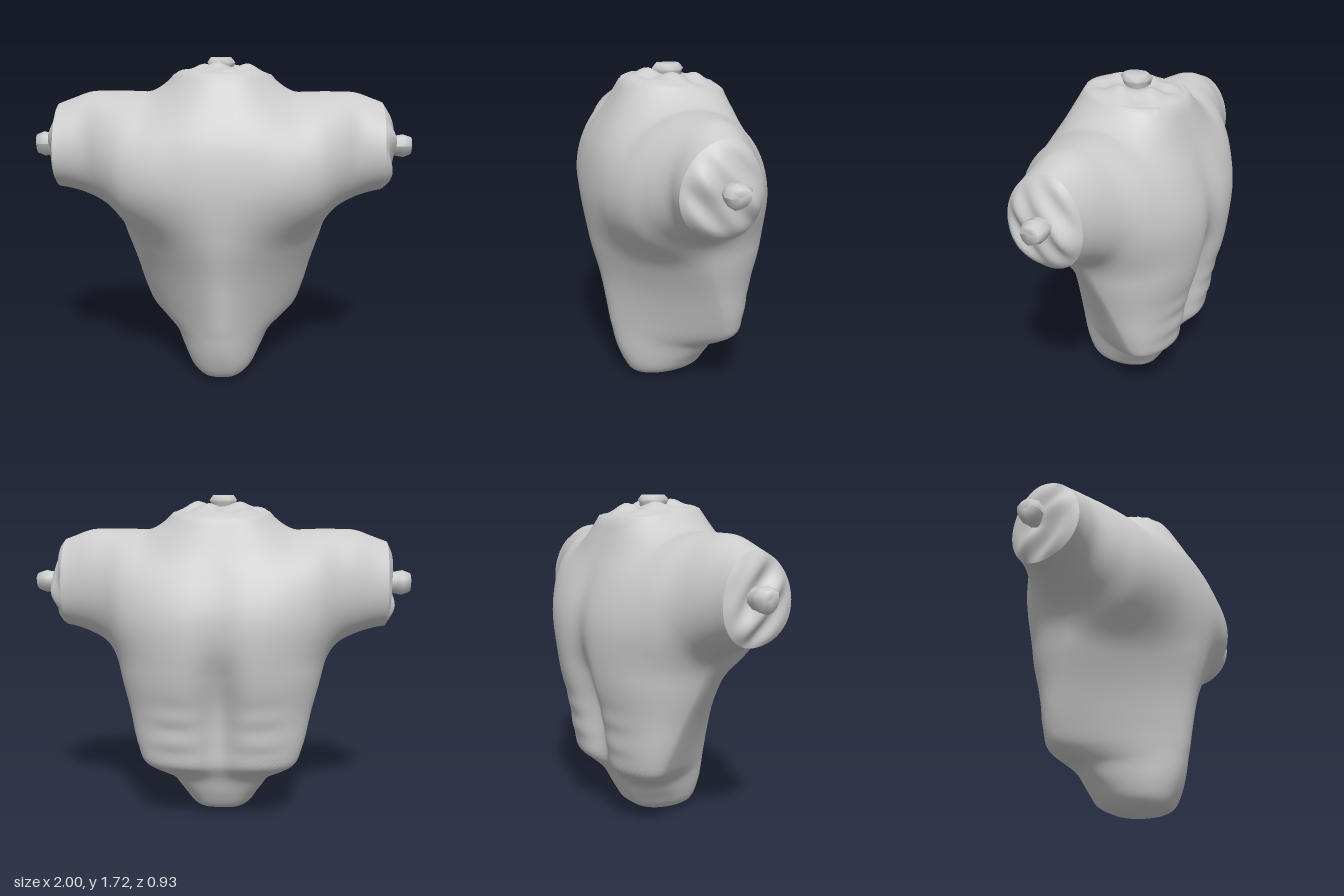
import * as THREE from 'three';

const material = new THREE.MeshStandardMaterial({ color: 0xcccccc });

// Smooth lookup through rows of [position, ...values]
function table(rows) {
  const size = rows[0].length - 1;
  const curve = new THREE.CubicInterpolant(rows.map(r => r[0]), rows.flatMap(r => r.slice(1)), size);
  return t => curve.evaluate(t);
}

// Trunk and neck by height: half width, front z, back z, z of widest point, front power, back groove
const trunkAt = table([
  [0.00, 0.05, 0.18, 0.02, 0.10, 1.9, 0],
  [0.02, 0.11, 0.225, -0.08, 0.07, 1.8, 0],
  [0.05, 0.155, 0.25, -0.145, 0.05, 1.75, 0],
  [0.10, 0.195, 0.275, -0.18, 0.02, 1.65, 0],
  [0.15, 0.225, 0.295, -0.205, -0.02, 1.55, 0],
  [0.22, 0.27, 0.315, -0.24, -0.08, 1.4, 0.06],
  [0.27, 0.345, 0.325, -0.29, -0.15, 1.28, 0.22],
  [0.31, 0.395, 0.335, -0.335, -0.18, 1.22, 0.35],
  [0.40, 0.435, 0.35, -0.36, -0.17, 1.2, 0.38],
  [0.60, 0.485, 0.385, -0.40, -0.11, 1.25, 0.32],
  [0.80, 0.54, 0.435, -0.45, -0.05, 1.4, 0.2],
  [0.95, 0.565, 0.455, -0.465, -0.01, 1.65, 0.1],
  [1.10, 0.57, 0.455, -0.45, 0, 2.0, 0.06],
  [1.30, 0.52, 0.425, -0.375, 0, 2.2, 0.03],
  [1.40, 0.45, 0.385, -0.335, 0, 2.2, 0],
  [1.50, 0.39, 0.33, -0.30, 0, 2.0, 0],
  [1.60, 0.285, 0.275, -0.26, 0, 2.0, 0],
  [1.68, 0.215, 0.23, -0.235, 0, 2.0, 0],
]);

// Shoulders and arms by distance from the middle: top, bottom, front z, back z
const armAt = table([
  [0.00, 1.54, 0.75, 0.42, -0.41],
  [0.20, 1.54, 0.75, 0.42, -0.42],
  [0.35, 1.54, 0.78, 0.42, -0.40],
  [0.50, 1.545, 0.84, 0.375, -0.34],
  [0.60, 1.545, 0.93, 0.305, -0.265],
  [0.70, 1.54, 0.985, 0.235, -0.215],
  [0.80, 1.505, 1.02, 0.225, -0.18],
  [0.88, 1.475, 1.035, 0.225, -0.165],
]);

const neckPlane = z => 1.635 + 0.09 * z;

// Negative inside the body, positive outside
function field(x, y, z) {
  const [w, front, back, zc, power, groove] = trunkAt(y);
  const ax = Math.hypot(x, 0.05) - 0.05;
  const isFront = z > zc;
  const p = isFront ? power : 2.3;
  let depth = isFront ? front - zc : zc - back;
  if (!isFront) {
    depth *= 1 - groove * Math.exp(-((x / 0.1) ** 2));
    // faint ribs low on the back
    const rib = Math.exp(-(((y - 0.5) / 0.16) ** 2) - ((Math.abs(x) - 0.24) / 0.13) ** 2);
    depth += 0.005 * rib * Math.sin(y * 45);
  }
  const trunk = 0.4 * (((ax / (w - 0.045 * Math.min(1, w / 0.2))) ** p
    + (Math.abs(z - zc) / depth) ** p) ** (1 / p) - 1);

  // egg-shaped sections, narrower at the top
  const [top, bottom, armFront, armBack] = armAt(Math.abs(x));
  const v = (y - (top + bottom) / 2) / ((top - bottom) / 2);
  const arm = 0.3 * (Math.hypot(v, z * (1 + 0.1 * v) / (z > 0 ? armFront : armBack)) - 1);

  const k = 0.07;
  const h = Math.max(k - Math.abs(trunk - arm), 0) / k;
  const body = Math.min(trunk, arm) - h * h * k / 4;
  return Math.max(body, -y, y - neckPlane(z));
}

// Distance from an inner axis to the skin
function reach(x, y0, dy, dz) {
  const f = r => field(x, y0 + r * dy, r * dz);
  let hi = 0.03;
  while (hi < 1.4 && f(hi) < 0) hi += 0.03;
  let lo = hi - 0.03;
  for (let i = 0; i < 14; i++) {
    const mid = (lo + hi) / 2;
    if (f(mid) < 0) lo = mid; else hi = mid;
  }
  return lo;
}

function gridMesh(name, points, index) {
  const geometry = new THREE.BufferGeometry().setFromPoints(points);
  geometry.setIndex(index);
  geometry.computeVertexNormals();
  const mesh = new THREE.Mesh(geometry, material);
  mesh.name = name;
  return mesh;
}

// Joins rows of points, each a closed ring of n points
function ringIndex(rows, n) {
  const index = [];
  for (let i = 0; i < rows - 1; i++) {
    for (let j = 0; j < n; j++) {
      const a = i * n + j, b = i * n + (j + 1) % n;
      index.push(a, b, a + n, b, b + n, a + n);
    }
  }
  return index;
}

// Uneven cut surface that fills a rim and swells along the axis
function cutSurface(name, rim, axis, bulge, seed) {
  const n = rim.length, rows = 13, points = [];
  const centre = rim.reduce((s, p) => s.add(p), new THREE.Vector3()).divideScalar(n);
  for (let i = 0; i < rows; i++) {
    const s = 1 - i / (rows - 1);
    for (const edge of rim) {
      const p = centre.clone().lerp(edge, s);
      const dents = Math.sin(p.x * 31 + p.y * 23 - p.z * 17 + seed)
        + Math.sin(p.x * 19 - p.y * 29 + p.z * 37 + seed * 2);
      const rise = bulge * (1 - s ** 4) + 0.012 * dents * Math.sin(Math.PI * s);
      points.push(p.addScaledVector(axis, rise));
    }
  }
  return gridMesh(name, points, ringIndex(rows, n));
}

// Knobbly low-poly end of bone
function boneEnd(name, radius, length, seed) {
  const profile = [[0.8, -0.5], [0.9, 0], [1, 0.2], [0.75, 0.5], [0, 0.42]];
  const geometry = new THREE.LatheGeometry(
    profile.map(([r, y]) => new THREE.Vector2(r * radius, y * length)), 9);
  const pos = geometry.attributes.position;
  for (let i = 0; i < pos.count; i++) {
    const a = Math.atan2(pos.getZ(i), pos.getX(i));
    const k = 1 + 0.08 * Math.sin(a * 3 + seed) + 0.06 * Math.sin(a * 2 - seed);
    pos.setXYZ(i, pos.getX(i) * k, pos.getY(i), pos.getZ(i) * k);
  }
  geometry.computeVertexNormals();
  const mesh = new THREE.Mesh(geometry, material);
  mesh.name = name;
  return mesh;
}

export function createModel() {
  const model = new THREE.Group();
  model.name = 'torso';

  // Skin: rings around an axis from arm to arm that sags in the trunk
  const columns = 150, around = 200, xMin = -0.87, xMax = 0.84;
  const skin = [];
  for (let i = 0; i < columns; i++) {
    const x = xMin + (xMax - xMin) * i / (columns - 1);
    const y0 = 1.25 - 0.35 * Math.exp(-((x / 0.35) ** 2));
    for (let j = 0; j < around; j++) {
      const t = j / around * Math.PI * 2;
      const a = t + 0.3 * Math.sin(t); // closer spacing towards the bottom
      const dy = Math.cos(a), dz = Math.sin(a);
      const r = reach(x, y0, dy, dz);
      skin.push(new THREE.Vector3(x, y0 + r * dy, r * dz));
    }
  }
  model.add(gridMesh('body', skin, ringIndex(columns, around)));

  // Arm cuts with bone ends
  for (const [side, s] of [['left', 1], ['right', -1]]) {
    const rim = s > 0 ? skin.slice(-around) : skin.slice(0, around).reverse();
    model.add(cutSurface(side + 'ArmCut', rim, new THREE.Vector3(s, 0, 0), s > 0 ? 0.06 : 0.03, s + 2));
    const bone = boneEnd(side + 'ArmBone', 0.063, 0.14, s);
    bone.rotation.z = -s * Math.PI / 2;
    bone.position.set(s * 0.93, 1.265, 0);
    model.add(bone);
  }

  // Neck cut with bone end
  const neckRim = [];
  for (let j = 0; j < 72; j++) {
    const a = j / 72 * Math.PI * 2;
    const z = -0.25 * Math.sin(a);
    neckRim.push(new THREE.Vector3(0.25 * Math.cos(a), neckPlane(z) - 0.002, z));
  }
  model.add(cutSurface('neckCut', neckRim, new THREE.Vector3(0, 1, 0), 0.035, 4));
  const neckBone = boneEnd('neckBone', 0.08, 0.08, 2);
  neckBone.position.set(-0.01, 1.68, 0);
  model.add(neckBone);

  return model;
}
